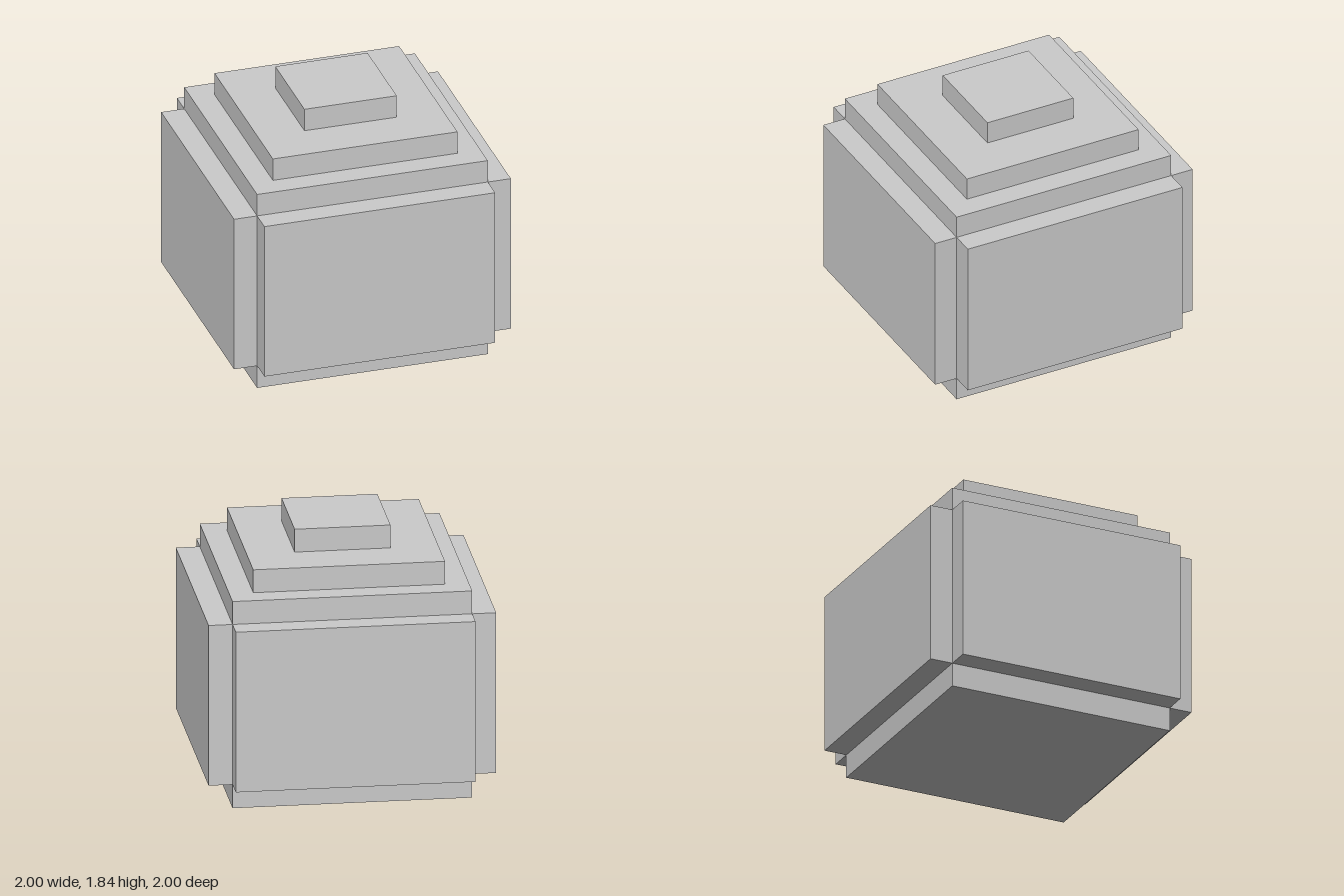
import * as THREE from 'three';

const U = 1 / 6; // one block step
const LIFT = 0.005; // slightly thicker foot below the block grid

export function createModel() {
  const model = new THREE.Group();
  model.name = 'steppedBlock';
  const material = new THREE.MeshStandardMaterial({ color: 0xcccccc, flatShading: true });

  // Box given by its width, depth and vertical range
  function block(name, width, depth, bottom, top, x = 0, z = 0) {
    const mesh = new THREE.Mesh(new THREE.BoxGeometry(width, top - bottom, depth), material);
    mesh.position.set(x, (bottom + top) / 2, z);
    mesh.name = name;
    model.add(mesh);
  }

  // Square core, from the foot to the lowest step
  block('core', 10 * U, 10 * U, 0, 9 * U + LIFT);

  // Raised panels on the four sides, leaving notched corners
  const low = U + LIFT, high = 8 * U + LIFT, offset = 5.5 * U;
  for (const s of [1, -1]) {
    block(s > 0 ? 'leftPanel' : 'rightPanel', U, 10 * U, low, high, s * offset, 0);
    block(s > 0 ? 'frontPanel' : 'backPanel', 10 * U, U, low, high, 0, s * offset);
  }

  // Stepped top
  block('upperStep', 8 * U, 8 * U, 9 * U + LIFT, 10 * U + LIFT);
  block('topCap', 4 * U, 4 * U, 10 * U + LIFT, 11 * U + LIFT);

  return model;
}
